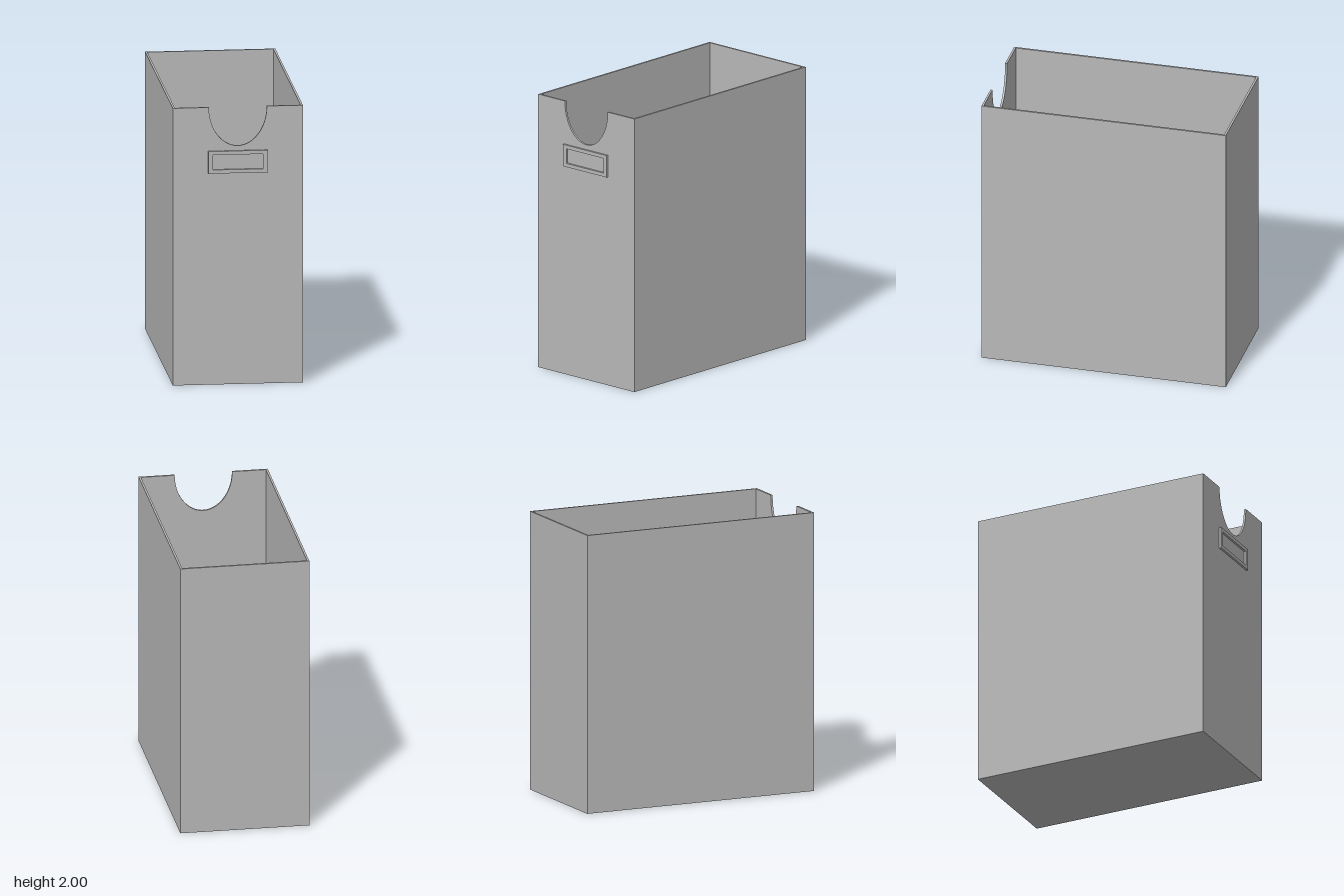
import * as THREE from 'three';

const W = 0.92, H = 2, T = 0.015;      // width, height, wall thickness
const BACK = -0.895, FRONT = 0.88;     // outer faces of the box

export function createModel() {
  const model = new THREE.Group();
  const grey = new THREE.MeshStandardMaterial({ color: 0xb8b8b8 });

  const add = (name, geometry, x, y, z) => {
    const mesh = new THREE.Mesh(geometry, grey);
    mesh.name = name;
    mesh.position.set(x, y, z);
    model.add(mesh);
  };
  const extrude = (shape, depth) =>
    new THREE.ExtrudeGeometry(shape, { depth, bevelEnabled: false, curveSegments: 40 });

  // Floor, back and side panels, butted so that nothing overlaps
  const innerDepth = FRONT - BACK - 2 * T;
  const midZ = (FRONT + BACK) / 2;
  add('floor', new THREE.BoxGeometry(W - 2 * T, T, innerDepth), 0, T / 2, midZ);
  add('backPanel', new THREE.BoxGeometry(W, H, T), 0, H / 2, BACK + T / 2);
  for (const [name, side] of [['leftPanel', 1], ['rightPanel', -1]]) {
    add(name, new THREE.BoxGeometry(T, H, innerDepth), side * (W - T) / 2, H / 2, midZ);
  }

  // Front panel with a half-oval finger cut-out in its top edge
  const front = new THREE.Shape();
  front.moveTo(-W / 2, 0);
  front.lineTo(W / 2, 0);
  front.lineTo(W / 2, H);
  front.lineTo(0.205, H);
  front.absellipse(0, H, 0.205, 0.28, 0, Math.PI, true);
  front.lineTo(-W / 2, H);
  front.closePath();
  add('frontPanel', extrude(front, T), 0, 0, FRONT - T);

  // Raised label holder with an open window
  const rect = (Type, w, h) => new Type([
    new THREE.Vector2(-w / 2, -h / 2), new THREE.Vector2(w / 2, -h / 2),
    new THREE.Vector2(w / 2, h / 2), new THREE.Vector2(-w / 2, h / 2),
  ]);
  const holder = rect(THREE.Shape, 0.42, 0.16);
  holder.holes.push(rect(THREE.Path, 0.355, 0.107));
  add('labelHolder', extrude(holder, 0.015), 0, 1.605, FRONT);

  return model;
}
